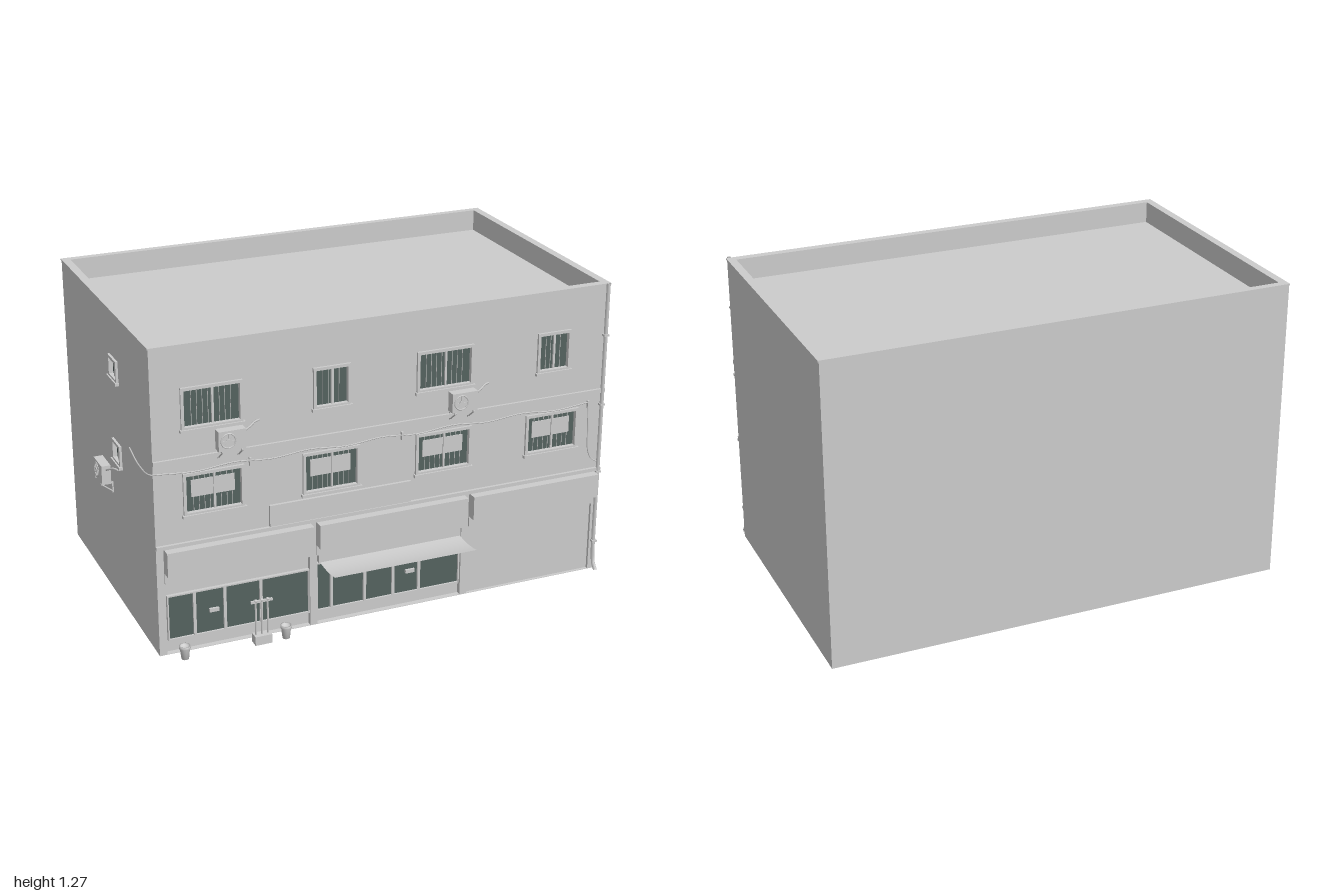
import * as THREE from 'three';

const wall = new THREE.MeshStandardMaterial({ color: 0xcccccc, side: THREE.DoubleSide });
wall.name = 'plaster grey';
const glass = new THREE.MeshStandardMaterial({ color: 0x54625f, side: THREE.DoubleSide });
glass.name = 'dark glass';

const X0 = -0.935, X1 = 0.993, Z0 = -0.665, Z1 = 0.5, H = 1.265, ROOF = 1.18;

function add(parent, name, geo, mat = wall) {
  const m = new THREE.Mesh(geo, mat);
  m.name = name;
  parent.add(m);
  return m;
}
// Box given by its minimum and maximum corners
function box(parent, name, x0, x1, y0, y1, z0, z1, mat = wall) {
  const m = add(parent, name, new THREE.BoxGeometry(x1 - x0, y1 - y0, z1 - z0), mat);
  m.position.set((x0 + x1) / 2, (y0 + y1) / 2, (z0 + z1) / 2);
  return m;
}
function tube(parent, name, pts, r, seg = 24) {
  const c = new THREE.CatmullRomCurve3(pts.map(p => new THREE.Vector3(...p)));
  return add(parent, name, new THREE.TubeGeometry(c, seg, r, 6));
}
// Flat rectangle with rectangular holes, each [x0, x1, y0, y1]
function rect(C, [x0, x1, y0, y1]) {
  return new C().moveTo(x0, y0).lineTo(x1, y0).lineTo(x1, y1).lineTo(x0, y1).closePath();
}
function panel(outer, holes) {
  const s = rect(THREE.Shape, outer);
  s.holes = holes.map(h => rect(THREE.Path, h));
  return new THREE.ShapeGeometry(s);
}
function ring(outer, inner, depth) {
  const s = rect(THREE.Shape, outer);
  s.holes = [rect(THREE.Path, inner)];
  return new THREE.ExtrudeGeometry(s, { depth, bevelEnabled: false });
}

// Window set in a wall lying on z = 0 and facing +z
function makeWindow([x0, x1, y0, y1], { paper, slats, split = 0.52 } = {}) {
  const g = new THREE.Group();
  g.name = 'window';
  const t = 0.012;
  add(g, 'windowFrame', ring([x0, x1, y0, y1], [x0 + t, x1 - t, y0 + t, y1 - t], 0.022)).position.z = -0.012;
  box(g, 'windowSill', x0 - 0.006, x1 + 0.006, y0 - 0.008, y0 + 0.004, -0.005, 0.016);
  box(g, 'windowGlass', x0 + t, x1 - t, y0 + t, y1 - t, -0.012, -0.008, glass);
  const xm = x0 + (x1 - x0) * split;
  box(g, 'windowMullion', xm - 0.004, xm + 0.004, y0 + t, y1 - t, -0.008, 0);
  box(g, 'windowBacking', x0, x1, y0, y1, -0.06, -0.014);
  if (paper) box(g, 'windowPaper', x0 + 0.035, x1 - 0.035, y0 + 0.07, y1 - 0.035, -0.008, -0.005);
  if (slats) {
    const n = Math.round((x1 - x0) / 0.022);
    for (let i = 2; i < n - 1; i++) {
      const x = x0 + (x1 - x0) * i / n;
      box(g, 'windowBar', x - 0.0008, x + 0.0008, y0 + t, y1 - t, -0.008, -0.006);
    }
  }
  return g;
}

// Outdoor air conditioner hung on brackets, back against z = 0, centred on x = 0
function makeAirConditioner() {
  const g = new THREE.Group();
  g.name = 'airConditioner';
  box(g, 'airConditionerCase', -0.055, 0.055, 0, 0.08, 0.012, 0.05);
  const fan = add(g, 'fanRing', new THREE.TorusGeometry(0.029, 0.003, 6, 16));
  fan.position.set(-0.016, 0.04, 0.05);
  add(g, 'fanHub', new THREE.CylinderGeometry(0.009, 0.009, 0.006, 10).rotateX(Math.PI / 2)).position.set(-0.016, 0.04, 0.051);
  for (let i = 0; i < 4; i++) {
    const bar = add(g, 'fanBar', new THREE.BoxGeometry(0.056, 0.0015, 0.002));
    bar.position.set(-0.016, 0.04, 0.051);
    bar.rotation.z = i * Math.PI / 4;
  }
  for (const x of [-0.04, 0.04]) {
    box(g, 'bracketArm', x - 0.004, x + 0.004, -0.006, 0, 0, 0.052);
    box(g, 'bracketPost', x - 0.004, x + 0.004, -0.045, 0, 0, 0.006);
    tube(g, 'bracketBrace', [[x, -0.04, 0.004], [x, -0.004, 0.05]], 0.003, 1);
  }
  tube(g, 'coolantPipe', [[0.05, 0.06, 0.03], [0.08, 0.075, 0.025], [0.1, 0.085, 0.015], [0.125, 0.086, 0.002]], 0.004, 12);
  return g;
}

export function createModel() {
  const model = new THREE.Group();
  model.name = 'shopBuilding';

  // Openings
  const upper = [[-0.82, -0.575], [-0.29, -0.135], [0.145, 0.39], [0.675, 0.825]].map(p => [...p, 0.93, 1.1]);
  const middle = [[-0.82, -0.575], [-0.335, -0.095], [0.145, 0.39], [0.635, 0.875]].map(p => [...p, 0.58, 0.755]);
  const side = [[-0.005, 0.1, 0.99, 1.08], [-0.005, 0.1, 0.635, 0.725]];
  const shops = [[-0.905, -0.305], [-0.275, 0.36], [0.39, 0.965]].map(p => [...p, 0.002, 0.31]);

  // Outer walls
  add(model, 'frontWall', panel([X0, X1, 0, H], [...upper, ...middle, ...shops])).position.z = Z1;
  const back = add(model, 'backWall', panel([-X1, -X0, 0, H], []));
  back.rotation.y = Math.PI;
  back.position.z = Z0;
  const plain = add(model, 'leftWall', panel([-Z1, -Z0, 0, H], []));
  plain.rotation.y = Math.PI / 2;
  plain.position.x = X1;
  const sideGroup = new THREE.Group();
  sideGroup.name = 'rightSide';
  sideGroup.rotation.y = -Math.PI / 2;
  sideGroup.position.x = X0;
  model.add(sideGroup);
  add(sideGroup, 'rightWall', panel([Z0, Z1, 0, H], side));

  // Roof and parapet
  box(model, 'roof', X0 + 0.01, X1 - 0.01, ROOF - 0.01, ROOF, Z0 + 0.01, Z1 - 0.01);
  const w = 0.03;
  const parapet = add(model, 'parapet', ring([X0 + 0.001, X1 - 0.001, -Z1 + 0.001, -Z0 - 0.001], [X0 + w, X1 - w, -Z1 + w, -Z0 - w], H - ROOF));
  parapet.rotation.x = -Math.PI / 2;
  parapet.position.y = ROOF;
  const cap = add(model, 'parapetCap', ring([X0 - 0.004, X1 + 0.004, -Z1 - 0.004, -Z0], [X0 + w, X1 - w, -Z1 + w, -Z0 - w], 0.006));
  cap.rotation.x = -Math.PI / 2;
  cap.position.y = H;

  // Windows
  const front = new THREE.Group();
  front.name = 'frontFittings';
  front.position.z = Z1;
  model.add(front);
  upper.forEach(r => front.add(makeWindow(r, { slats: true })));
  middle.forEach(r => front.add(makeWindow(r, { paper: true, slats: true })));
  side.forEach(r => sideGroup.add(makeWindow(r)));

  // Air conditioners
  for (const [parent, x, y] of [[front, -0.635, 0.84], [front, 0.335, 0.84], [sideGroup, -0.085, 0.515]]) {
    const ac = makeAirConditioner();
    ac.position.set(x, y, 0);
    parent.add(ac);
  }

  // Ledges and sign boards
  box(front, 'upperLedge', X0, X1, 0.805, 0.822, 0, 0.01);
  box(front, 'lowerLedge', X0, X1, 0.457, 0.472, 0, 0.012);
  box(front, 'signBoard', -0.475, 0.125, 0.474, 0.563, 0, 0.012);
  for (const [x0, x1] of [[-0.905, -0.305], [-0.28, 0.365], [0.39, 0.965]]) {
    box(front, 'shopSign', x0, x1, 0.355, 0.457, 0, 0.047);
    box(front, 'shopLintel', x0, x1, 0.31, 0.355, 0, 0.008);
  }

  // Shop rooms behind the front
  for (const [x0, x1, y0, y1] of shops) {
    box(front, 'shopRoom', x0, x1, 0.002, y1, -0.42, -0.022);
    const lining = add(front, 'shopReveal', ring([x0 - 0.002, x1 + 0.002, y0 - 0.001, y1 + 0.002], [x0, x1, y0, y1], 0.024));
    lining.position.z = -0.024;
  }
  box(front, 'rollerShutter', 0.39, 0.965, 0.002, 0.31, -0.022, -0.012);

  // Glazed shop fronts with mullions and a door handle
  const fronts = [
    [-0.89, -0.31, 0.06, 0.243, [-0.785, -0.66, -0.51], -0.705],
    [-0.27, 0.352, 0.06, 0.262, [-0.21, -0.065, 0.06, 0.175], 0.135],
  ];
  for (const [x0, x1, y0, y1, bars, handle] of fronts) {
    box(front, 'shopGlass', x0, x1, y0, y1, -0.02, -0.014, glass);
    add(front, 'shopFrame', ring([x0 - 0.006, x1 + 0.006, y0 - 0.006, y1 + 0.006], [x0, x1, y0, y1], 0.014)).position.z = -0.02;
    for (const x of bars) box(front, 'shopMullion', x - 0.006, x + 0.006, y0, y1, -0.016, -0.006);
    box(front, 'doorHandle', handle - 0.02, handle + 0.02, 0.145, 0.16, -0.014, -0.004);
  }
  box(front, 'shutterBox', -0.27, 0.352, 0.275, 0.31, -0.02, 0.008);

  // Awning sheet with a slight sag
  const awning = new THREE.PlaneGeometry(0.615, 0.15, 1, 6).rotateX(-Math.PI / 2);
  const p = awning.attributes.position;
  for (let i = 0; i < p.count; i++) {
    const t = p.getZ(i) / 0.075;
    p.setY(i, 0.275 + 0.007 * t * t + 0.002 * t);
  }
  awning.computeVertexNormals();
  add(model, 'awning', awning).position.set(0.04, 0, 0.588);

  // Drain pipe with clips and a kicked-out foot
  tube(model, 'drainPipe', [[0.982, 1.272, 0.509], [0.982, 0.6, 0.509], [0.982, 0.07, 0.509], [0.982, 0.035, 0.515], [0.982, 0.008, 0.535]], 0.008, 40);
  for (const y of [0.13, 0.45, 0.75, 1.05]) box(model, 'pipeClip', 0.971, 0.993, y, y + 0.008, 0.5, 0.519);

  // Cable slung along the front and round the corner
  const cable = [[-0.938, 0.77, 0.22], [-0.945, 0.755, 0.36], [-0.943, 0.77, 0.5]];
  for (let i = 0; i <= 12; i++) cable.push([-0.92 + i * 0.153, i % 2 ? 0.76 : 0.772, 0.508]);
  tube(model, 'cable', cable, 0.003, 90);
  tube(model, 'cableDrop', [[0.92, 0.77, 0.506], [0.925, 0.65, 0.506], [0.93, 0.56, 0.506], [0.95, 0.515, 0.506], [0.975, 0.5, 0.506]], 0.0025);
  for (const x of [-0.55, 0.085, 0.92]) box(model, 'cableClip', x - 0.004, x + 0.004, 0.745, 0.778, 0.5, 0.511);

  // Flower pots
  const potProfile = [[0, 0], [0.015, 0], [0.02, 0.045], [0.023, 0.045], [0.023, 0.056], [0.018, 0.056], [0.017, 0.046], [0, 0.046]]
    .map(q => new THREE.Vector2(...q));
  for (const x of [-0.85, -0.43]) add(model, 'flowerPot', new THREE.LatheGeometry(potProfile, 14)).position.set(x, 0, 0.553);

  // Umbrella stand
  box(model, 'standBase', -0.565, -0.495, 0, 0.038, 0.53, 0.57);
  for (const x of [-0.555, -0.53, -0.505]) {
    tube(model, 'standPole', [[x, 0.03, 0.55], [x, 0.185, 0.55]], 0.004, 1);
    add(model, 'standKnob', new THREE.SphereGeometry(0.007, 8, 6)).position.set(x, 0.187, 0.55);
  }
  box(model, 'standRail', -0.575, -0.485, 0.178, 0.188, 0.546, 0.554);

  return model;
}
